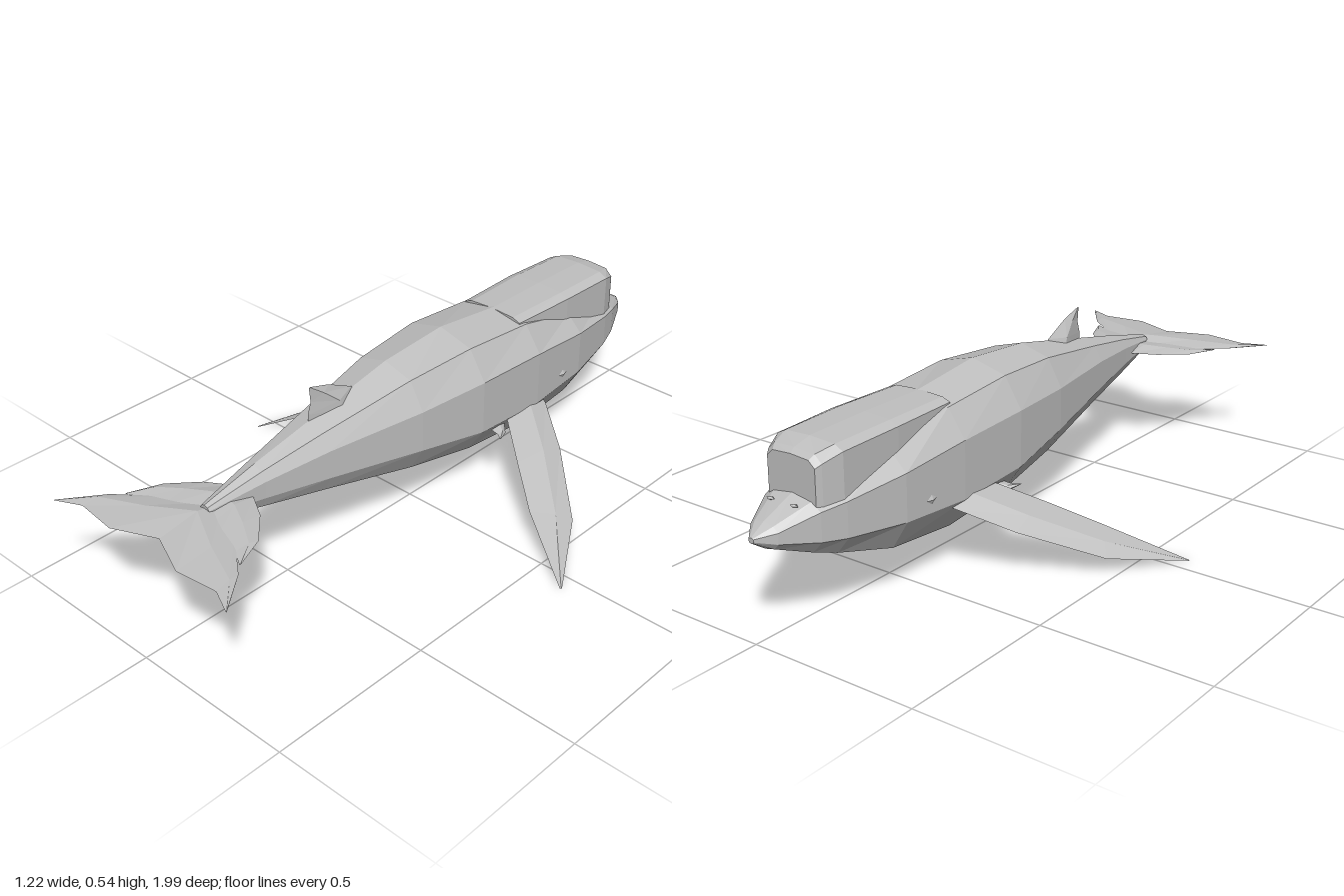
import * as THREE from 'three';

const skin = new THREE.MeshStandardMaterial({ color: 0xbfbfbf });
skin.name = 'grey skin';

// Faceted solid through a list of equal-sized rings, capped at both ends
function loft(name, rings) {
  const tris = [];
  const n = rings[0].length;
  for (let i = 0; i < rings.length - 1; i++) {
    for (let j = 0; j < n; j++) {
      const k = (j + 1) % n;
      const a = rings[i][j], b = rings[i][k], c = rings[i + 1][k], d = rings[i + 1][j];
      tris.push([a, b, c], [a, c, d]);
    }
  }
  const first = rings[0], last = rings[rings.length - 1];
  for (let j = 1; j < n - 1; j++) {
    tris.push([first[0], first[j + 1], first[j]], [last[0], last[j], last[j + 1]]);
  }
  // Turn the faces outwards whatever the ring direction
  let volume = 0;
  const cross = new THREE.Vector3();
  for (const [a, b, c] of tris) volume += a.dot(cross.crossVectors(b, c));
  if (volume < 0) tris.forEach((t) => t.reverse());
  const geometry = new THREE.BufferGeometry().setFromPoints(tris.flat());
  geometry.computeVertexNormals();
  const mesh = new THREE.Mesh(geometry, skin);
  mesh.name = name;
  return mesh;
}

// Closed ring mirrored across x = 0 from its right half, top to bottom
function mirrorRing(half, z) {
  const right = half.map(([x, y]) => new THREE.Vector3(x, y, z));
  const left = half.filter(([x]) => x > 0).reverse().map(([x, y]) => new THREE.Vector3(-x, y, z));
  return [...right, ...left];
}

// Blade with a diamond section: each row is [leading edge, trailing edge, half thickness]
function blade(name, rows, thickAxis, side = 1) {
  const flip = new THREE.Vector3(side, 1, 1);
  const rings = rows.map(([lead, trail, t]) => {
    const a = new THREE.Vector3(...lead), b = new THREE.Vector3(...trail);
    const mid = a.clone().lerp(b, 0.4);
    const up = mid.clone().addScaledVector(thickAxis, t);
    const down = mid.clone().addScaledVector(thickAxis, -t);
    return [a, up, b, down].map((p) => p.multiply(flip));
  });
  return loft(name, rings);
}

export function createModel() {
  const whale = new THREE.Group();
  whale.name = 'whale';
  const yAxis = new THREE.Vector3(0, 1, 0);
  const xAxis = new THREE.Vector3(1, 0, 0);

  // Body: z, half width, then heights of top, shoulder, upper side, lower side, chine, keel
  const body = [
    [-0.995, 0.008, 0.290, 0.289, 0.287, 0.280, 0.276, 0.275],
    [-0.95, 0.047, 0.318, 0.312, 0.298, 0.268, 0.252, 0.245],
    [-0.85, 0.095, 0.360, 0.350, 0.330, 0.250, 0.215, 0.203],
    [-0.78, 0.118, 0.378, 0.365, 0.340, 0.242, 0.192, 0.177],
    [-0.60, 0.155, 0.430, 0.415, 0.365, 0.230, 0.145, 0.125],
    [-0.38, 0.170, 0.490, 0.470, 0.390, 0.222, 0.132, 0.105],
    [-0.13, 0.169, 0.520, 0.490, 0.400, 0.235, 0.155, 0.130],
    [0.10, 0.142, 0.505, 0.478, 0.395, 0.270, 0.193, 0.172],
    [0.40, 0.082, 0.445, 0.430, 0.385, 0.300, 0.250, 0.235],
    [0.60, 0.045, 0.405, 0.395, 0.370, 0.320, 0.287, 0.277],
    [0.77, 0.017, 0.365, 0.361, 0.352, 0.335, 0.325, 0.320],
  ];
  whale.add(loft('body', body.map(([z, w, top, shoulder, high, low, chine, keel]) => mirrorRing(
    [[0, top], [w * 0.67, shoulder], [w, high], [w, low], [w * 0.67, chine], [0, keel]], z))));

  // Forehead: z, half width, top, shoulder, bottom
  const forehead = [
    [-0.85, 0.080, 0.462, 0.440, 0.330],
    [-0.835, 0.090, 0.475, 0.450, 0.330],
    [-0.78, 0.110, 0.488, 0.470, 0.335],
    [-0.58, 0.114, 0.492, 0.476, 0.370],
    [-0.36, 0.105, 0.491, 0.477, 0.420],
  ];
  whale.add(loft('forehead', forehead.map(([z, w, top, shoulder, bottom]) => mirrorRing(
    [[0, top], [w * 0.75, top - 0.004], [w, shoulder], [w, bottom], [0, bottom]], z))));

  // Dorsal fin
  whale.add(blade('dorsalFin', [
    [[0, 0.455, 0.21], [0, 0.430, 0.40], 0.027],
    [[0, 0.482, 0.235], [0, 0.465, 0.40], 0.022],
    [[0, 0.525, 0.32], [0, 0.500, 0.388], 0.010],
    [[0, 0.545, 0.385], [0, 0.544, 0.392], 0.001],
  ], xAxis));

  for (const side of [1, -1]) {
    const label = side > 0 ? 'left' : 'right';

    // Flipper sweeping out, down and back
    whale.add(blade(label + 'Flipper', [
      [[0.11, 0.225, -0.44], [0.11, 0.245, -0.27], 0.016],
      [[0.17, 0.207, -0.42], [0.17, 0.222, -0.24], 0.016],
      [[0.30, 0.143, -0.33], [0.28, 0.165, -0.155], 0.014],
      [[0.48, 0.055, -0.165], [0.40, 0.100, -0.065], 0.010],
      [[0.612, 0.005, 0.05], [0.608, 0.005, 0.055], 0.001],
    ], yAxis, side));

    // Small fin behind the flipper
    whale.add(blade(label + 'SmallFin', [
      [[0.14, 0.205, -0.26], [0.14, 0.210, -0.19], 0.012],
      [[0.18, 0.195, -0.22], [0.18, 0.205, -0.185], 0.008],
      [[0.20, 0.205, -0.175], [0.20, 0.205, -0.17], 0.001],
    ], yAxis, side));

    // Tail fluke
    whale.add(blade(label + 'Fluke', [
      [[0, 0.342, 0.71], [0, 0.340, 0.92], 0.018],
      [[0.13, 0.338, 0.785], [0.13, 0.338, 0.975], 0.011],
      [[0.25, 0.337, 0.88], [0.26, 0.337, 0.96], 0.006],
      [[0.333, 0.336, 0.99], [0.335, 0.336, 0.995], 0.001],
    ], yAxis, side));

    // Smaller fluke in front of the main one
    whale.add(blade(label + 'FrontFluke', [
      [[0, 0.342, 0.64], [0, 0.340, 0.80], 0.015],
      [[0.04, 0.342, 0.64], [0.05, 0.340, 0.81], 0.014],
      [[0.11, 0.340, 0.68], [0.11, 0.338, 0.83], 0.010],
      [[0.185, 0.337, 0.755], [0.175, 0.337, 0.825], 0.006],
      [[0.222, 0.336, 0.845], [0.222, 0.336, 0.852], 0.001],
    ], yAxis, side));

    // Eye
    const eye = new THREE.Mesh(new THREE.OctahedronGeometry(1), skin);
    eye.name = label + 'Eye';
    eye.scale.set(0.006, 0.013, 0.02);
    eye.position.set(side * 0.162, 0.265, -0.51);
    whale.add(eye);

    // Blowhole ridge
    const ridge = new THREE.Mesh(new THREE.OctahedronGeometry(1), skin);
    ridge.name = label + 'SnoutRidge';
    ridge.scale.set(0.014, 0.005, 0.009);
    ridge.position.set(side * 0.04, 0.346, -0.885);
    whale.add(ridge);
  }

  return whale;
}
